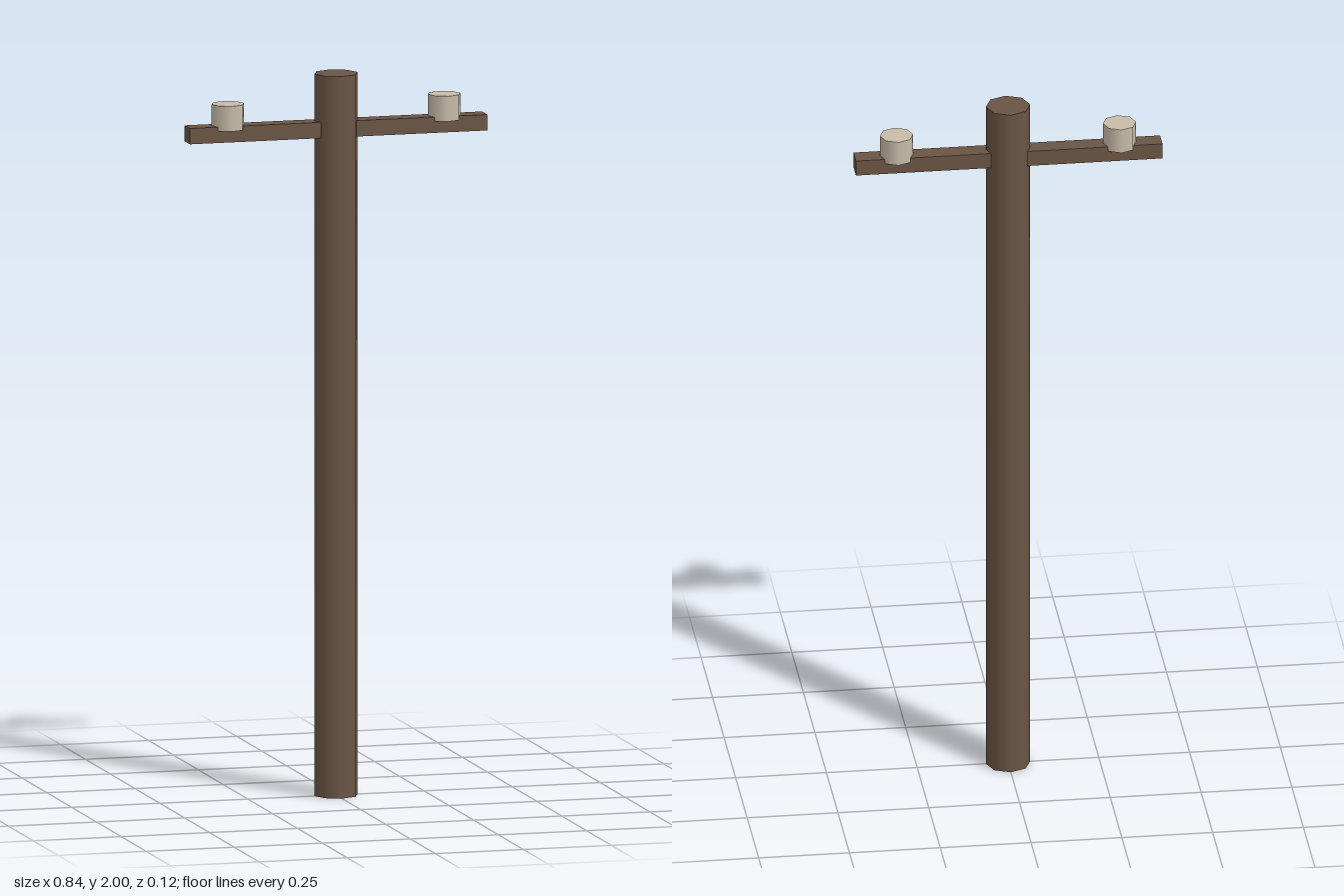
import * as THREE from 'three';

export function createModel() {
  const group = new THREE.Group();
  group.name = 'utilityPole';

  const wood = new THREE.MeshStandardMaterial({ color: 0x6b5545 });
  wood.name = 'brown wood';
  const ceramic = new THREE.MeshStandardMaterial({ color: 0xc9bda9 });
  ceramic.name = 'pale ceramic';

  const add = (name, geometry, material, x, y) => {
    const mesh = new THREE.Mesh(geometry, material);
    mesh.name = name;
    mesh.position.set(x, y, 0);
    group.add(mesh);
  };

  // Eight-sided post with smooth shading
  add('post', new THREE.CylinderGeometry(0.061, 0.061, 2, 8), wood, 0, 1);

  // Beam passing through the post near its top
  add('crossarm', new THREE.BoxGeometry(0.844, 0.044, 0.053), wood, 0, 1.848);

  // One insulator on each side of the beam
  const insulator = new THREE.CylinderGeometry(0.046, 0.046, 0.07, 8);
  for (const side of [1, -1]) {
    add(side > 0 ? 'leftInsulator' : 'rightInsulator', insulator, ceramic, side * 0.307, 1.894);
  }

  return group;
}
